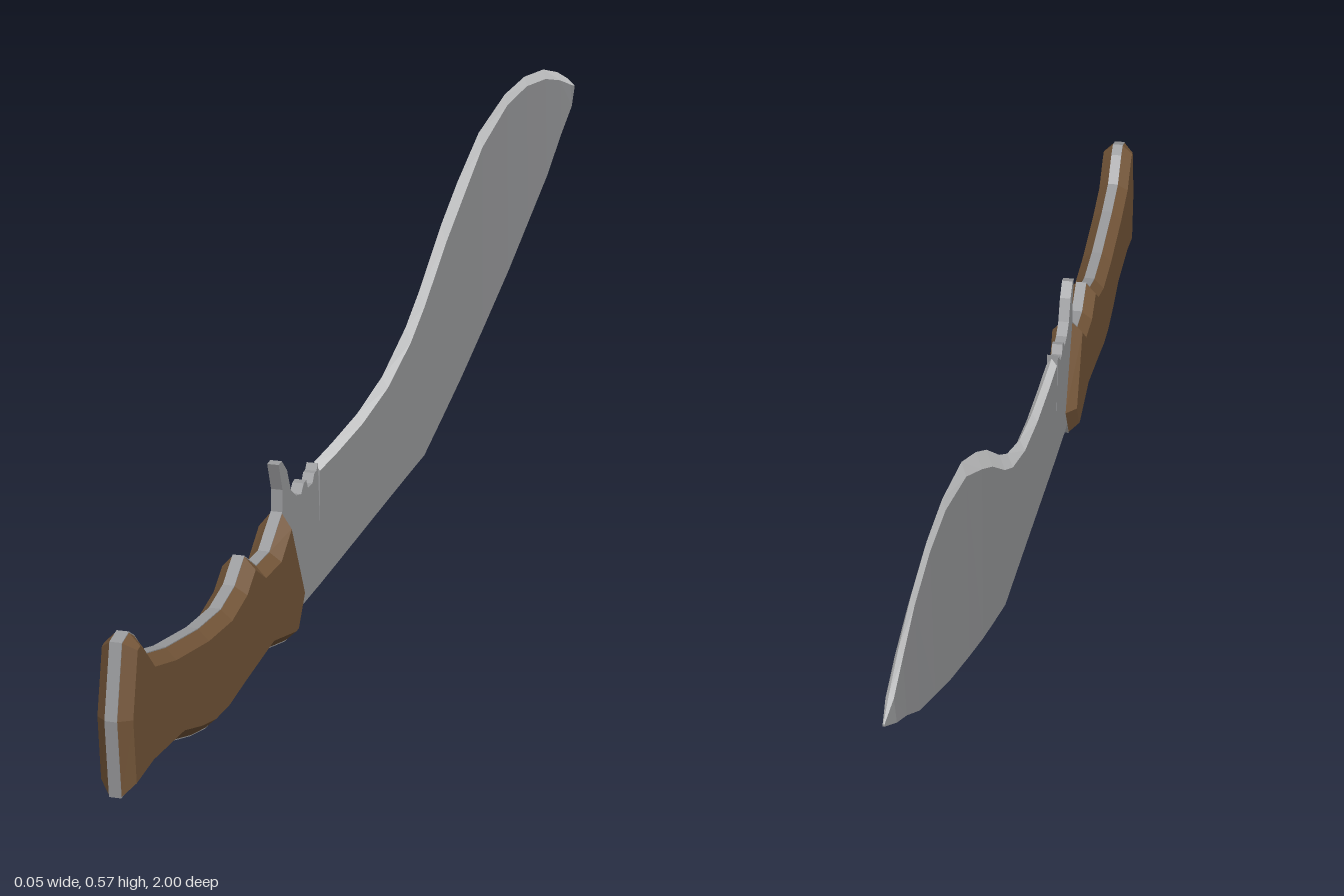
import * as THREE from 'three';

const HALF = 0.008; // half thickness of the steel
const steel = new THREE.MeshStandardMaterial({ color: 0x98999b });
const edgeSteel = new THREE.MeshStandardMaterial({ color: 0xd6d7d8 });
const wood = new THREE.MeshStandardMaterial({ color: 0x735538 });

// Handle outline as [z, y], running along the top, then back along the bottom
const handleOutline = [
  [0.98, 0.203], [0.957, 0.21], [0.94, 0.2], [0.905, 0.166], [0.84, 0.152], [0.73, 0.14],
  [0.65, 0.14], [0.6, 0.155], [0.563, 0.184], [0.52, 0.158], [0.47, 0.161], [0.42, 0.2],
  [0.357, 0.075], [0.39, 0.02], [0.41, 0.018], [0.495, 0.033], [0.6, 0.014], [0.66, 0.002],
  [0.71, 0], [0.76, 0.008], [0.82, 0.023], [0.92, 0.022], [0.99, 0.01], [1, 0.11],
];

// Guard horn, notch and blade root as [z, y]
const rootOutline = [
  [0.46, 0.08], [0.42, 0.19], [0.418, 0.23], [0.432, 0.268], [0.42, 0.27], [0.4, 0.252],
  [0.385, 0.22], [0.365, 0.207], [0.345, 0.203], [0.335, 0.215], [0.325, 0.217], [0.318, 0.204],
  [0.3, 0.205], [0.292, 0.217], [0.284, 0.218], [0.278, 0.227], [0.27, 0.13], [0.27, 0.054],
  [0.36, 0.045], [0.42, 0.045],
];

// Blade stations: [z, spine y, bevel y, edge y, half thickness at bevel]
const bladeStations = [
  [0.27, 0.054, 0.214, 0.226, 0.008], [0.2, 0.062, 0.219, 0.232, 0.008],
  [0.09, 0.075, 0.231, 0.245, 0.008], [-0.02, 0.088, 0.253, 0.27, 0.008],
  [-0.125, 0.1, 0.293, 0.315, 0.008], [-0.19, 0.107, 0.331, 0.355, 0.008],
  [-0.29, 0.146, 0.402, 0.428, 0.008], [-0.37, 0.178, 0.45, 0.476, 0.008],
  [-0.475, 0.224, 0.507, 0.529, 0.006], [-0.61, 0.285, 0.545, 0.562, 0.004],
  [-0.715, 0.338, 0.555, 0.57, 0.004], [-0.82, 0.391, 0.547, 0.562, 0.004],
  [-0.9, 0.443, 0.53, 0.543, 0.005], [-0.96, 0.477, 0.512, 0.522, 0.005],
  [-1, 0.5, 0.502, 0.504, 0.001],
];

function mesh(name, geometry, material) {
  const m = new THREE.Mesh(geometry, material);
  m.name = name;
  return m;
}

// Outline in the z-y plane extruded along x, centred on x = 0
function slab(outline, options) {
  const shape = new THREE.Shape(outline.map(([z, y]) => new THREE.Vector2(-z, y)));
  const g = new THREE.ExtrudeGeometry(shape, { curveSegments: 1, ...options });
  g.rotateY(Math.PI / 2);
  g.translate(-options.depth / 2, 0, 0);
  return g;
}

// Strips between neighbouring cross-sections, for the chosen ring sides
function loft(rings, sides, capped) {
  const p = [];
  const n = rings[0].length;
  for (let k = 0; k < rings.length - 1; k++) {
    const a = rings[k], b = rings[k + 1];
    for (const i of sides) {
      const j = (i + 1) % n;
      p.push(...a[i], ...b[i], ...a[j], ...b[i], ...b[j], ...a[j]);
    }
  }
  if (capped) {
    const a = rings[0], b = rings[rings.length - 1];
    for (let i = 1; i < n - 1; i++) p.push(...a[0], ...a[i], ...a[i + 1], ...b[0], ...b[i + 1], ...b[i]);
  }
  const g = new THREE.BufferGeometry();
  g.setAttribute('position', new THREE.Float32BufferAttribute(p, 3));
  g.computeVertexNormals();
  return g;
}

export function createModel() {
  const knife = new THREE.Group();
  knife.name = 'curvedKnife';

  // Blade: thick spine below, ground edge above
  const rings = bladeStations.map(([z, spine, bevel, edge, t], k) => {
    const h = k === bladeStations.length - 1 ? 0.001 : HALF;
    return [[h, spine, z], [t, bevel, z], [0, edge, z], [-t, bevel, z], [-h, spine, z]];
  });
  knife.add(mesh('blade', loft(rings, [0, 3, 4], true), steel));
  knife.add(mesh('cuttingEdge', loft(rings, [1, 2], false), edgeSteel));

  // Guard horn and blade root
  knife.add(mesh('guard', slab(rootOutline, { depth: 2 * HALF, bevelEnabled: false }), steel));

  // Steel tang showing between the grips
  knife.add(mesh('tang', slab(handleOutline, { depth: 2 * HALF, bevelEnabled: false }), steel));

  // Wooden grips with chamfered rims on both sides of the tang
  const chamfer = 0.014;
  knife.add(mesh('grips', slab(handleOutline, {
    depth: 2 * HALF - 0.001, bevelEnabled: true, bevelSegments: 1,
    bevelThickness: 0.0155, bevelSize: chamfer, bevelOffset: -chamfer - 0.0008,
  }), wood));

  return knife;
}
